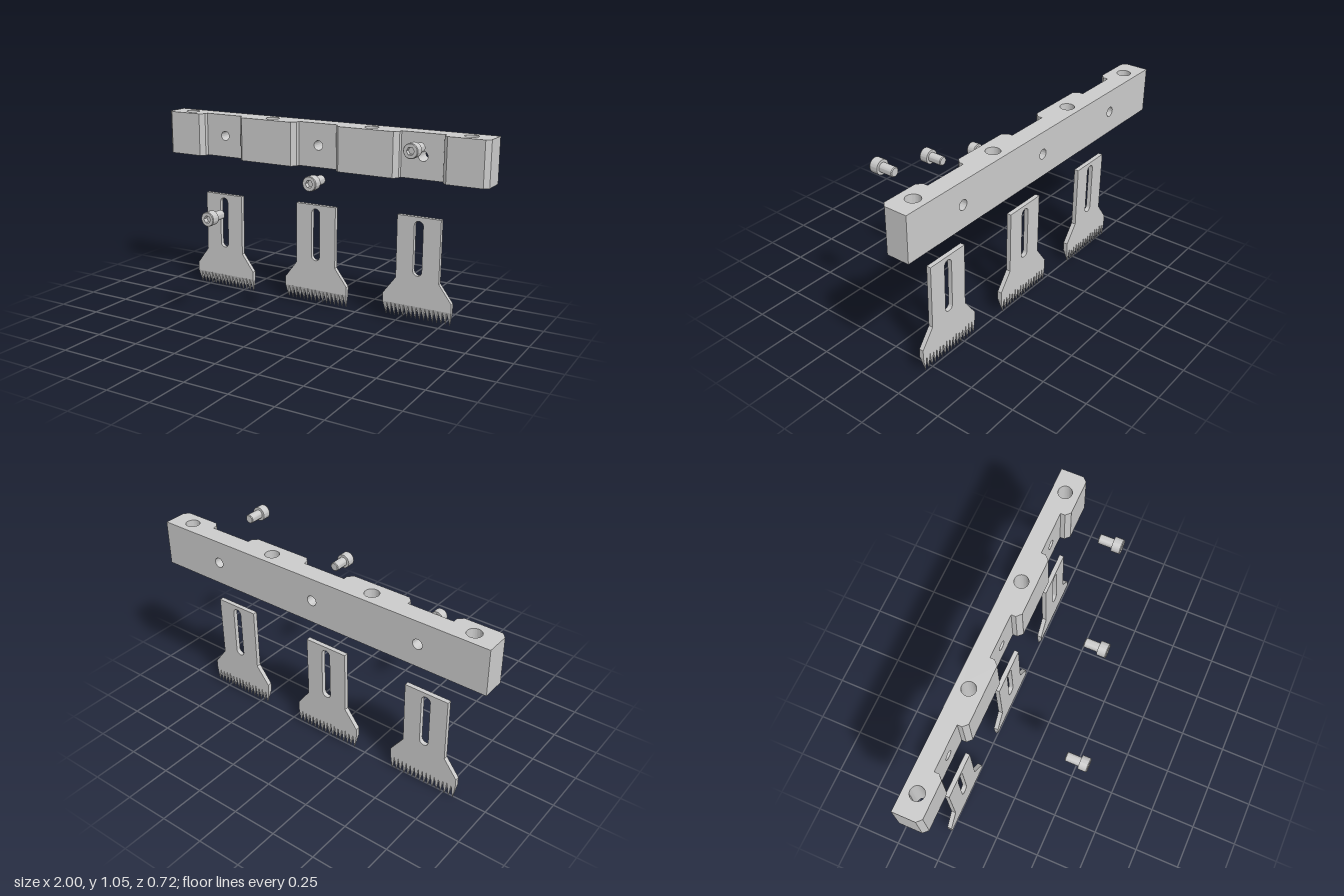
import * as THREE from 'three';
import { mergeGeometries, toCreasedNormals } from 'three/addons/utils/BufferGeometryUtils.js';
import { ConvexGeometry } from 'three/addons/geometries/ConvexGeometry.js';

const material = new THREE.MeshStandardMaterial({ color: 0xcccccc });
const BACK = -0.36, FRONT = -0.21, FLOOR = -0.26; // bar depth planes
const PLATE = 0.025; // blade thickness, also the chamfer size

function mesh(name, geometry) {
  const m = new THREE.Mesh(toCreasedNormals(geometry, 0.5), material);
  m.name = name;
  return m;
}

const polygon = (pts) => new THREE.Shape(pts.map(([x, y]) => new THREE.Vector2(x, y)));
const circle = (x, y, r) => new THREE.Path().absarc(x, y, r, 0, Math.PI * 2, true);
const extrude = (shape, depth) =>
  new THREE.ExtrudeGeometry(shape, { depth, bevelEnabled: false, curveSegments: 24 });

// Holder bar: chamfered lands with vertical holes, joined by thinner drilled recesses
function createBar() {
  const bar = new THREE.Group();
  bar.name = 'holderBar';
  const y0 = 0.8, height = 0.248, c = PLATE;
  for (const [a, b] of [[-1, -0.75], [-0.5, -0.125], [0.125, 0.5], [0.75, 1]]) {
    const plan = polygon([
      [a, -BACK], [a, -FRONT + c], [a + c, -FRONT], [b - c, -FRONT], [b, -FRONT + c], [b, -BACK],
    ]);
    plan.holes.push(circle((a + b) / 2, 0.287, 0.038));
    bar.add(mesh('barLand', extrude(plan, height).rotateX(-Math.PI / 2).translate(0, y0, 0)));
  }
  for (const x of [-0.625, 0, 0.625]) {
    const face = polygon([
      [x - 0.125, y0], [x + 0.125, y0], [x + 0.125, y0 + height], [x - 0.125, y0 + height],
    ]);
    face.holes.push(circle(x, y0 + height / 2, 0.027));
    bar.add(mesh('barRecess', extrude(face, FLOOR - BACK).translate(0, 0, BACK)));
  }
  return bar;
}

// Toothed blade: slotted plate with a row of teeth bevelled to the back face
function createBlade(x, y) {
  const blade = new THREE.Group();
  blade.name = 'toothedBlade';
  const root = 0.079, half = 0.2, teeth = 16, pitch = (2 * half) / teeth;
  const plate = polygon([
    [-half, root], [half, root], [half, 0.127], [0.125, 0.227],
    [0.125, 0.578], [-0.125, 0.578], [-0.125, 0.227], [-half, 0.127],
  ]);
  const r = 0.026, slot = new THREE.Path();
  slot.absarc(0, 0.556 - r, r, 0, Math.PI, false);
  slot.absarc(0, 0.253 + r, r, Math.PI, Math.PI * 2, false);
  slot.closePath();
  plate.holes.push(slot);
  blade.add(mesh('bladePlate', extrude(plate, PLATE)));

  const tooth = new ConvexGeometry([
    [-pitch / 2, root, 0], [pitch / 2, root, 0],
    [-pitch / 2, root, PLATE], [pitch / 2, root, PLATE],
    [-0.001, 0, 0], [0.001, 0, 0], [0, 0, 0.002],
  ].map((p) => new THREE.Vector3(...p)));
  const row = [];
  for (let i = 0; i < teeth; i++) {
    row.push(tooth.clone().translate(-half + (i + 0.5) * pitch, 0, 0));
  }
  blade.add(mesh('bladeTeeth', mergeGeometries(row)));
  blade.position.set(x, y, FLOOR);
  return blade;
}

// Socket head screw, head front at z = 0 and shank pointing backwards
function createScrew(x, y, z) {
  const screw = new THREE.Group();
  screw.name = 'socketScrew';
  const profile = [
    [0, -0.128], [0.021, -0.128], [0.025, -0.124], [0.025, -0.049],
    [0.039, -0.049], [0.039, -0.004], [0.036, 0],
  ].map(([px, py]) => new THREE.Vector2(px, py));
  screw.add(mesh('screwBody', new THREE.LatheGeometry(profile, 40).rotateX(Math.PI / 2)));

  // Head face with hexagonal socket
  const depth = 0.025, hexRadius = 0.021;
  const face = new THREE.Shape().absarc(0, 0, 0.036, 0, Math.PI * 2, false);
  const hex = [];
  for (let i = 0; i < 6; i++) {
    const t = (i * Math.PI) / 3;
    hex.push(new THREE.Vector2(Math.cos(t) * hexRadius, Math.sin(t) * hexRadius));
  }
  face.holes.push(new THREE.Path(hex));
  screw.add(mesh('screwSocket', extrude(face, depth).translate(0, 0, -depth)));
  screw.add(mesh('socketFloor', new THREE.CircleGeometry(hexRadius, 6).translate(0, 0, -depth)));
  screw.position.set(x, y, z);
  return screw;
}

export function createModel() {
  const model = new THREE.Group();
  model.name = 'bladeHolderAssembly';
  model.add(createBar());
  [-1, 0, 1].forEach((i) => model.add(createBlade(i * 0.625, (i + 1) * 0.0125)));
  for (const p of [[-0.314, 0.598, 0.36], [0.225, 0.824, 0.232], [0.711, 1.016, 0.102]]) {
    model.add(createScrew(...p));
  }
  return model;
}
